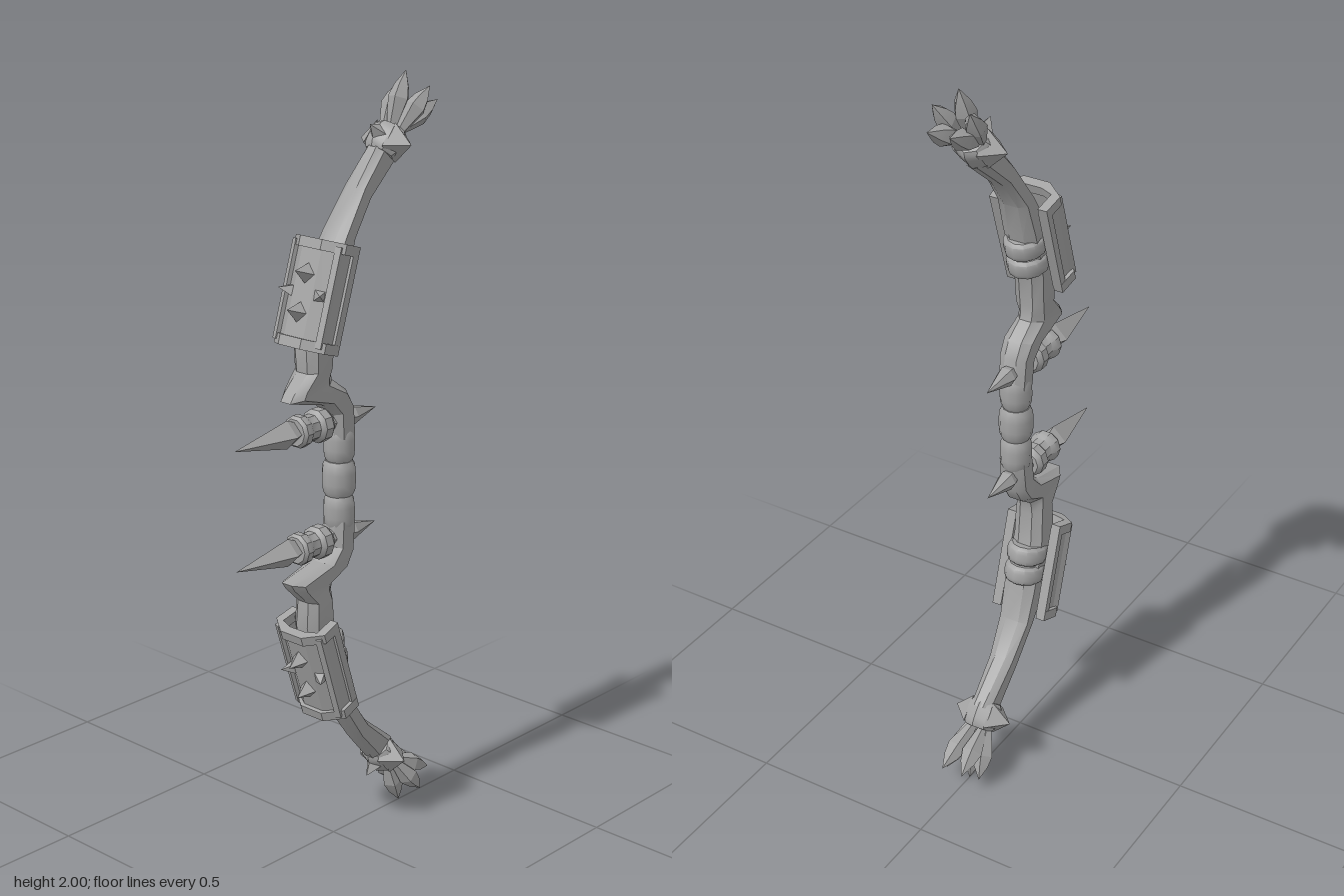
import * as THREE from 'three';
import { toCreasedNormals } from 'three/addons/utils/BufferGeometryUtils.js';

const V = (x, y, z = 0) => new THREE.Vector3(x, y, z);
const UP = V(0, 1, 0);

export function createModel() {
  const stone = new THREE.MeshStandardMaterial({ color: 0xa3a3a3 });

  function add(parent, name, geo, crease = 0.3) {
    const mesh = new THREE.Mesh(toCreasedNormals(geo, crease), stone);
    mesh.name = name;
    parent.add(mesh);
    return mesh;
  }

  // Turned shape between two points; profile holds [radius, fraction of length]
  function turned(parent, name, from, to, profile, sides, crease) {
    const dir = to.clone().sub(from);
    const len = dir.length();
    const pts = profile.map(([r, t]) => new THREE.Vector2(r, t * len));
    const mesh = add(parent, name, new THREE.LatheGeometry(pts, sides), crease);
    mesh.position.copy(from);
    mesh.quaternion.setFromUnitVectors(UP, dir.normalize());
    return mesh;
  }
  const barrel = r => [[0, 0], [r * 0.8, 0], [r * 0.96, 0.14], [r, 0.35], [r, 0.65], [r * 0.96, 0.86], [r * 0.8, 1], [0, 1]];
  const pyramid = r => [[0, 0], [r, 0], [0, 1]];

  // Limb: bevelled eight-sided sections, rows of [left x, left y, right x, right y, half depth]
  function limbGeometry() {
    const rows = [
      [-0.013, 0.11, 0.055, 0.11, 0.036], [-0.018, 0.175, 0.047, 0.195, 0.038],
      [-0.055, 0.21, 0.025, 0.235, 0.04], [-0.172, 0.238, -0.024, 0.27, 0.037],
      [-0.16, 0.256, -0.028, 0.285, 0.037], [-0.113, 0.302, -0.029, 0.31, 0.04],
      [-0.118, 0.37, -0.022, 0.395, 0.042], [-0.1, 0.455, 0.0, 0.46, 0.045],
      [-0.056, 0.563, 0.02, 0.525, 0.046], [-0.003, 0.638, 0.042, 0.615, 0.042],
      [0.07, 0.743, 0.105, 0.7, 0.034], [0.14, 0.828, 0.214, 0.79, 0.029],
    ];
    const section = [[1, -0.45], [0.8, -1], [0.2, -1], [0, -0.45], [0, 0.45], [0.2, 1], [0.8, 1], [1, 0.45]];
    const pos = [], idx = [];
    rows.forEach(([lx, ly, rx, ry, w], i) => section.forEach(([t, s], k) => {
      pos.push(lx + (rx - lx) * t, ly + (ry - ly) * t, s * w);
      if (i === rows.length - 1) return;
      const a = i * 8 + k, b = i * 8 + (k + 1) % 8;
      idx.push(a, b, b + 8, a, b + 8, a + 8);
    }));
    const geo = new THREE.BufferGeometry();
    geo.setAttribute('position', new THREE.Float32BufferAttribute(pos, 3));
    geo.setIndex(idx);
    return geo;
  }

  // C-shaped armour slice, open toward +x
  function armourSlice(inset, thick, length) {
    const line = o => [[0.047, 0.08 - o], [-0.01, 0.085 - o], [-0.047 + o, 0.036 - o * 0.4]];
    const mirror = p => p.map(([x, z]) => [x, -z]).reverse();
    const outer = line(inset), inner = line(inset + thick);
    const pts = [...outer, ...mirror(outer), ...inner.map(([x, z]) => [x, -z]), ...mirror(inner).map(([x, z]) => [x, -z])];
    // outer runs front to back, inner returns back to front
    const shape = new THREE.Shape(pts.map(([x, z]) => new THREE.Vector2(x, z)));
    return new THREE.ExtrudeGeometry(shape, { depth: length, bevelEnabled: false })
      .translate(0, 0, -length / 2).rotateX(-Math.PI / 2);
  }

  function armour() {
    const g = new THREE.Group();
    g.name = 'limbArmour';
    add(g, 'armourPanel', armourSlice(0.01, 0.012, 0.25));
    for (const s of [-1, 1]) {
      add(g, 'armourEndRim', armourSlice(0, 0.025, 0.026)).position.y = s * 0.122;
      // rails along the open edges and the outer folds
      add(g, 'armourEdgeRail', new THREE.BoxGeometry(0.02, 0.25, 0.026)).position.set(0.037, 0, s * 0.067);
      const fold = add(g, 'armourFoldRail', new THREE.BoxGeometry(0.02, 0.25, 0.016));
      fold.position.set(-0.016, 0, s * 0.07);
      fold.rotation.y = s * 0.35;
      turned(g, 'armourStud', V(-0.036, s * 0.048), V(-0.08, s * 0.048), pyramid(0.026), 4);
      turned(g, 'armourSideStud', V(-0.024, 0, s * 0.045), V(-0.052, 0, s * 0.07), pyramid(0.02), 4);
    }
    g.position.set(-0.074, 0.493, 0);
    g.rotation.z = -0.305;
    return g;
  }

  // Collar with three studs and a spray of crystal leaves
  function limbTip() {
    const g = new THREE.Group();
    g.name = 'limbTip';
    const c = V(0.19, 0.832), axis = V(0.64, 0.77).normalize(), out = V(-0.77, 0.64).normalize();
    const at = (a, o, z = 0) => c.clone().addScaledVector(axis, a).addScaledVector(out, o).add(V(0, 0, z));
    turned(g, 'tipCollar', at(-0.037, 0), at(0.037, 0), barrel(0.048), 8, 0.5);
    turned(g, 'collarStud', at(0, 0.035), at(0, 0.078), pyramid(0.027), 4);
    for (const s of [-1, 1])
      turned(g, 'collarSideStud', at(0, 0, s * 0.03), at(0, 0, s * 0.083), pyramid(0.05), 4);
    const leaf = [[0, 0], [0.012, 0.05], [0.028, 0.55], [0.02, 0.75], [0, 1]];
    const tips = [[0.262, 1, 0], [0.348, 0.92, 0.03], [0.348, 0.92, -0.03], [0.295, 0.962, 0.05], [0.295, 0.962, -0.05]];
    for (const [x, y, z] of tips)
      turned(g, 'crystalLeaf', at(0.025, 0, z * 0.5), V(x, y, z), leaf, 5);
    return g;
  }

  function halfBow() {
    const g = new THREE.Group();
    g.name = 'bowHalf';
    add(g, 'limb', limbGeometry(), 0.45);
    turned(g, 'gripSegment', V(0.02, 0.046), V(0.022, 0.135), barrel(0.041), 12, 0.7);
    g.add(armour(), limbTip());

    // paired bands binding the armour to the limb
    for (const d of [-0.027, 0.027]) {
      const mid = V(-0.031 + d * 0.25, 0.463 + d);
      const dir = V(0.2, 0.98).multiplyScalar(0.026);
      const band = turned(g, 'limbBand', mid.clone().sub(dir), mid.clone().add(dir), barrel(0.053), 12, 0.7);
      band.scale.x = 1.1;
    }

    // cross spike: long blade, ribbed socket, short rear point
    const h = 0.155;
    turned(g, 'longSpike', V(-0.13, h), V(-0.348, h), [[0, 0], [0.022, 0], [0.037, 0.17], [0, 1]], 4);
    turned(g, 'spikeSocket', V(-0.142, h), V(-0.03, h),
      [[0, 0], [0.035, 0], [0.042, 0.08], [0.042, 0.24], [0.034, 0.34], [0.034, 0.56],
        [0.044, 0.66], [0.044, 0.88], [0.034, 1], [0, 1]], 10, 0.6);
    turned(g, 'socketPin', V(-0.04, h), V(0.04, h), barrel(0.024), 8, 0.6);
    turned(g, 'shortSpike', V(0.035, h), V(0.158, h), [[0, 0], [0.018, 0], [0.026, 0.25], [0, 1]], 6);
    return g;
  }

  const model = new THREE.Group();
  model.name = 'bow';
  const upper = halfBow(), lower = halfBow();
  lower.rotation.x = Math.PI;
  upper.position.y = lower.position.y = 1;
  model.add(upper, lower);
  turned(model, 'gripCentre', V(0.02, 0.954), V(0.02, 1.046), barrel(0.044), 12, 0.7);
  return model;
}
